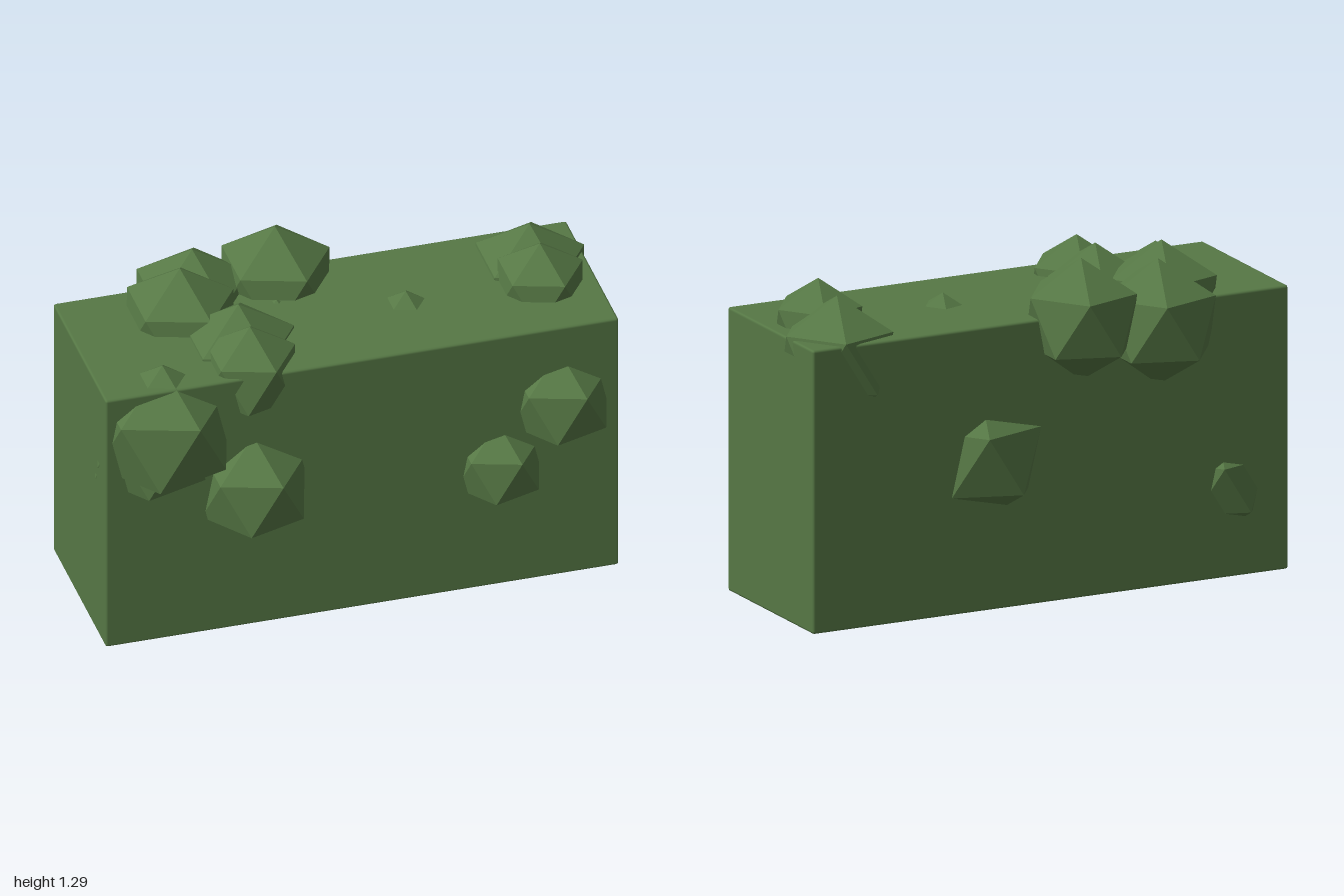
import * as THREE from 'three';
import { RoundedBoxGeometry } from 'three/addons/geometries/RoundedBoxGeometry.js';

export function createModel() {
  const group = new THREE.Group();
  group.name = 'hedge';
  const leaf = new THREE.MeshStandardMaterial({ color: 0x567845 });
  leaf.name = 'leafGreen';

  // Clipped hedge block with a fine bevel
  const block = new THREE.Mesh(new RoundedBoxGeometry(1.98, 1.09, 0.69, 1, 0.01), leaf);
  block.name = 'hedgeBlock';
  block.position.set(-0.006, 0.545, 0);
  group.add(block);

  // Faceted clump standing on a corner, one upper-ring corner pointing to +x
  const clumpGeometry = new THREE.IcosahedronGeometry(1, 0);
  clumpGeometry.rotateX(-Math.atan((1 + Math.sqrt(5)) / 2));
  clumpGeometry.rotateY(Math.PI / 2);
  clumpGeometry.computeVertexNormals();

  // Leaf clumps: x, y, z, radius
  const clumps = {
    frontClump: [
      [-0.42, 0.593, 0.322, 0.222],
      [-0.75, 0.865, 0.252, 0.28],
      [-0.785, 0.78, 0.22, 0.24],
      [0.53, 0.505, 0.3, 0.18],
      [0.77, 0.745, 0.29, 0.206],
    ],
    topClump: [
      [-0.4, 1.03, 0.21, 0.195],
      [-0.4, 0.99, 0.06, 0.24],
      [-0.56, 1.045, -0.165, 0.232],
      [-0.47, 1.01, -0.31, 0.243],
      [-0.15, 1.06, -0.31, 0.235],
      [-0.2, 0.9, -0.12, 0.2],
      [0.26, 0.935, 0.01, 0.2],
      [0.775, 1.07, 0.018, 0.185],
      [0.786, 0.995, -0.155, 0.236],
    ],
    backClump: [
      [0.22, 0.565, -0.21, 0.257],
      [-0.77, 0.335, -0.205, 0.2],
    ],
  };
  for (const [name, list] of Object.entries(clumps)) {
    list.forEach(([x, y, z, r], i) => {
      const clump = new THREE.Mesh(clumpGeometry, leaf);
      clump.name = name + (i + 1);
      clump.position.set(x, y, z);
      clump.scale.setScalar(r);
      group.add(clump);
    });
  }
  return group;
}
